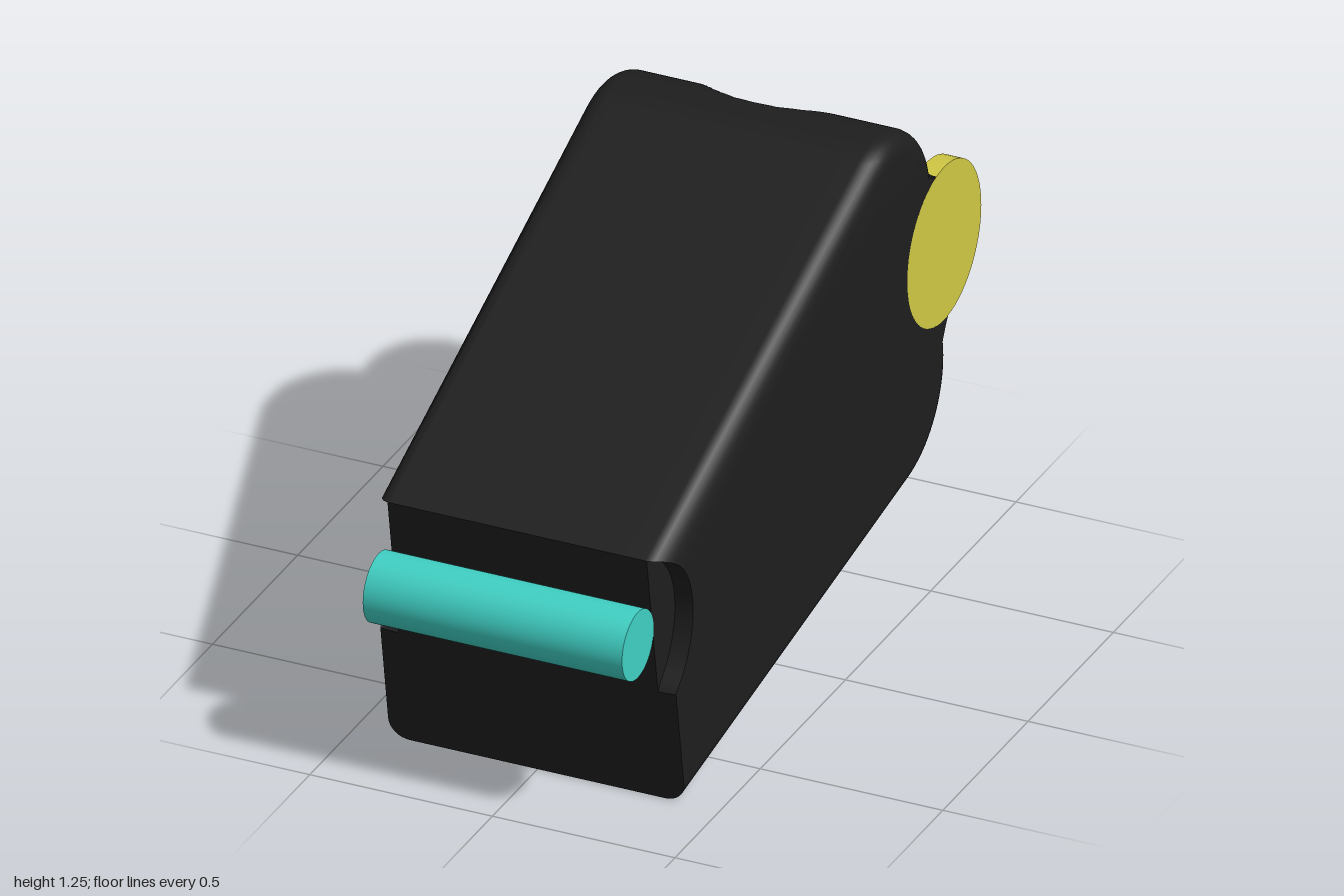
import * as THREE from 'three';
import { toCreasedNormals } from 'three/addons/utils/BufferGeometryUtils.js';

const HALF = 0.405, INNER = 0.355, ROUND = 0.055;
const WHEEL = { z: -0.783, y: 0.822, r: 0.217 };
const ROD = { z: 0.907, y: 0.523, r: 0.093 };
const NOTCH = 0.245, HEX = NOTCH / Math.cos(Math.PI / 6);

// Side profile as points with outward normals, front bottom -> over the top -> back bottom
function sideProfile() {
  const pts = [];
  const arc = (cz, cy, r, from, to, n, bite) => {
    for (let i = 0; i <= n; i++) {
      const a = THREE.MathUtils.degToRad(from + (to - from) * i / n);
      const c = Math.cos(a), s = Math.sin(a);
      pts.push({ z: cz + r * c, y: cy + r * s, nz: bite ? 0 : c, ny: bite ? 0 : s });
    }
  };
  // sloping front face; its ends slide along the face where the edges round off
  for (let i = 0; i <= 40; i++) {
    const t = i / 40, k = 2 * t - 1;
    pts.push({ z: 0.735 + 0.12 * t, y: 0.735 * t, nz: 0.161 * k, ny: 0.987 * k, front: true });
  }
  arc(-0.49, 1.005, 0.25, 68, 170, 30);
  arc(WHEEL.z, WHEEL.y, WHEEL.r, 78, -96, 40, true);
  arc(-0.545, 0.5, 0.275, 170, 260, 30);
  return pts;
}

// Depth of the rear notch: round at its mouths, six-sided between them
function notchLimit(x, y) {
  let d = x < NOTCH ? Math.sqrt(NOTCH * NOTCH - x * x) : -1;
  if (y > 0.38 && y < 1.18 && x < HEX) d = Math.max(d, Math.min(NOTCH, (HEX - x) * Math.sqrt(3)));
  return d < 0 ? -Infinity : -0.785 + d;
}

// Cross-section of the body at one x
function section(profile, x) {
  const ax = Math.abs(x);
  const u = Math.max(0, (ax - (HALF - ROUND)) / ROUND);
  const inset = ROUND * (1 - Math.sqrt(Math.max(0, 1 - u * u)));
  return profile.map(p => {
    let z = p.z - p.nz * inset;
    const y = p.y - p.ny * inset;
    // round recess in the front end of each flank
    const dy = Math.abs(y - ROD.y);
    if (p.front && ax > INNER && dy < WHEEL.r)
      z = Math.min(z, ROD.z - Math.sqrt(WHEEL.r ** 2 - dy * dy));
    return [x, y, Math.max(z, notchLimit(ax, y))];
  });
}

function bodyGeometry() {
  const profile = sideProfile(), n = profile.length;
  const half = [];
  for (let i = 1; i <= 20; i++) half.push(0.2449 * Math.sin(i / 20 * Math.PI / 2));
  half.push(HEX / 2, 0.2451, 0.264, HEX - 0.0001, HEX + 0.0001, 0.35, 0.3549, 0.3551);
  for (let i = 2; i <= 8; i++) half.push(HALF - ROUND + ROUND * Math.sin(i / 8 * Math.PI / 2));
  half.sort((a, b) => a - b);
  const xs = [...half.map(x => -x).reverse(), 0, ...half];
  const rings = xs.map(x => section(profile, x));

  const pos = [];
  const tri = (a, b, c) => pos.push(...a, ...b, ...c);
  for (let i = 0; i < rings.length - 1; i++) {
    for (let j = 0; j < n; j++) {
      const k = (j + 1) % n;
      const a = rings[i][j], b = rings[i][k], c = rings[i + 1][k], d = rings[i + 1][j];
      tri(a, d, c);
      tri(a, c, b);
    }
  }
  // flat flanks
  for (const [ring, side] of [[rings[0], -1], [rings[rings.length - 1], 1]]) {
    const flat = ring.map(p => new THREE.Vector2(-p[2], p[1]));
    for (const [a, b, c] of THREE.ShapeUtils.triangulateShape(flat, [])) {
      const area = THREE.ShapeUtils.area([flat[a], flat[b], flat[c]]);
      if (area * side > 0) tri(ring[a], ring[b], ring[c]);
      else tri(ring[a], ring[c], ring[b]);
    }
  }
  const g = new THREE.BufferGeometry();
  g.setAttribute('position', new THREE.Float32BufferAttribute(pos, 3));
  return toCreasedNormals(g, 0.5);
}

export function createModel() {
  const model = new THREE.Group();
  const add = (name, geometry, color, x = 0, y = 0, z = 0) => {
    const mesh = new THREE.Mesh(geometry, new THREE.MeshStandardMaterial({ color }));
    mesh.name = name;
    mesh.position.set(x, y, z);
    model.add(mesh);
  };
  const axle = (r, length) => new THREE.CylinderGeometry(r, r, length, 64).rotateZ(Math.PI / 2);

  add('body', bodyGeometry(), 0x1e1e1e);
  add('frontRod', axle(ROD.r, 2 * INNER), 0x40d0c4, 0, ROD.y, ROD.z);

  // thin discs seated in the rear bite, one per flank
  const thick = HALF - INNER;
  for (const [side, name] of [[1, 'leftDisc'], [-1, 'rightDisc']])
    add(name, axle(WHEEL.r, thick), 0xd0c844, side * (INNER + thick / 2), WHEEL.y, WHEEL.z);

  return model;
}
